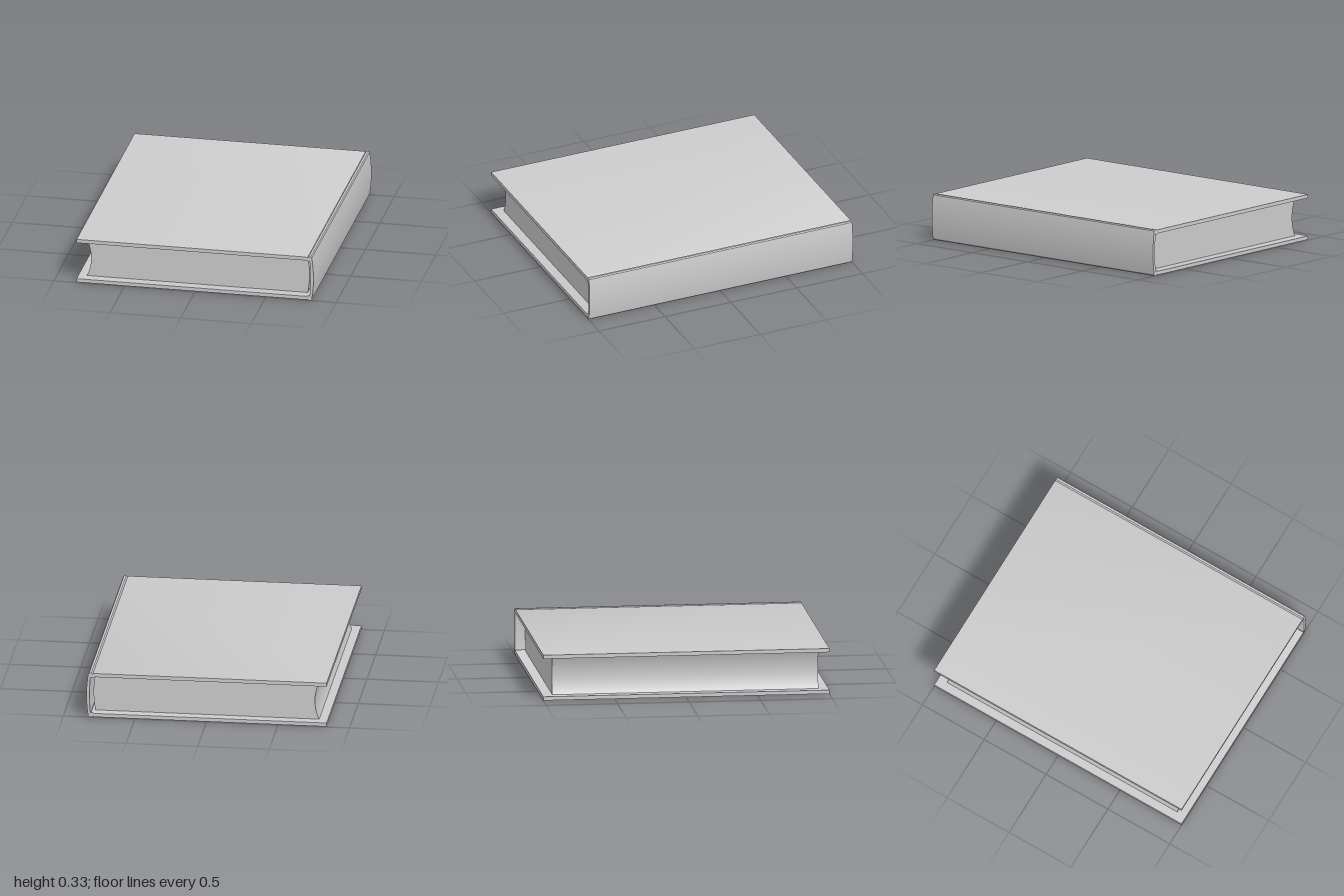
import * as THREE from 'three';
import { toCreasedNormals } from 'three/addons/utils/BufferGeometryUtils.js';

const MID = 0.163; // half the thickness of the closed book

// Extrudes a closed outline along z, centred, with smooth curves and sharp edges
function slab(name, shape, depth, material) {
  const geometry = new THREE.ExtrudeGeometry(shape, { depth, bevelEnabled: false, curveSegments: 16 });
  geometry.translate(0, MID, -depth / 2);
  const mesh = new THREE.Mesh(toCreasedNormals(geometry, 0.5), material);
  mesh.name = name;
  return mesh;
}

export function createModel() {
  const book = new THREE.Group();
  book.name = 'book';
  const grey = new THREE.MeshStandardMaterial({ color: 0xcccccc });
  const mirror = (points) => points.map(([x, y]) => [x, -y]).reverse();

  // Cover: two boards, hinge grooves and a rounded spine in one C-shaped outline
  const outer = [[-0.84, 0.16], [0.784, 0.16], [0.795, 0.155], [0.804, 0.163], [0.819, 0.163], [0.826, 0.156]];
  const inner = [[0.811, 0.134], [0.806, 0.129], [0.795, 0.129], [0.784, 0.134], [-0.84, 0.134]];
  const cover = new THREE.Shape();
  const lines = (points) => points.forEach(([x, y]) => cover.lineTo(x, y));
  cover.moveTo(...outer[0]);
  lines(outer.slice(1));
  cover.quadraticCurveTo(0.851, 0, 0.826, -0.156); // outside of spine
  lines(mirror(outer).slice(1));
  lines(mirror(inner));
  cover.quadraticCurveTo(0.823, 0, 0.811, 0.134); // inside of spine
  lines(inner.slice(1));
  cover.closePath();
  book.add(slab('cover', cover, 2, grey));

  // Page block: hollow fore edge, rounded back, set in at head and tail
  const pages = new THREE.Shape();
  pages.moveTo(-0.78, -0.133);
  pages.lineTo(0.783, -0.133);
  pages.quadraticCurveTo(0.811, 0, 0.783, 0.133);
  pages.lineTo(-0.78, 0.133);
  pages.quadraticCurveTo(-0.72, 0, -0.78, -0.133);
  book.add(slab('pageBlock', pages, 1.86, grey));

  return book;
}
